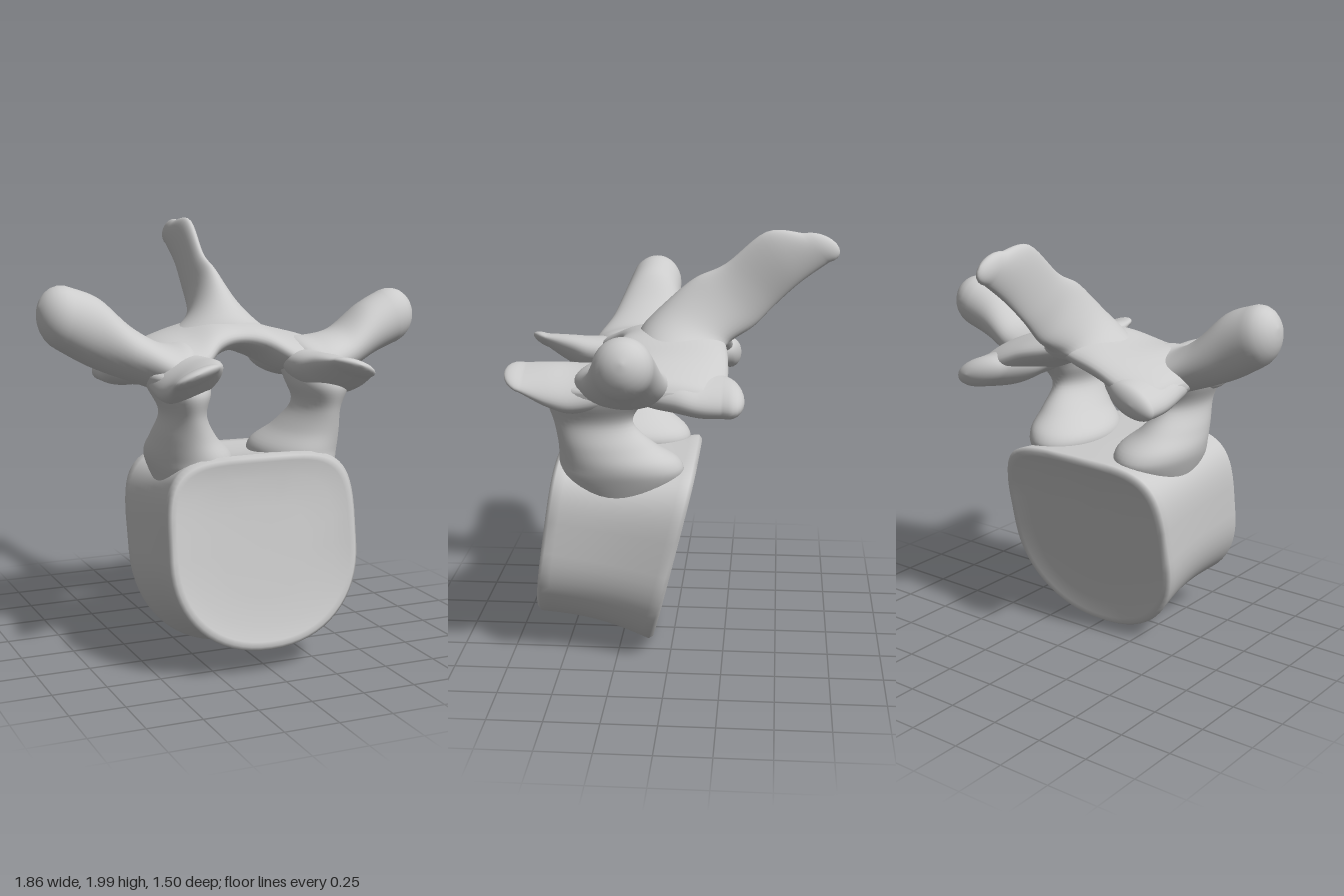
import * as THREE from 'three';

const material = new THREE.MeshStandardMaterial({ color: 0xcccccc });

// Unit outlines: a plain ellipse, and a D that is round below and squarer above
const ellipse = a => [Math.cos(a), Math.sin(a)];
const power = (n, e) => Math.sign(n) * Math.abs(n) ** e;
const shieldOutline = a => {
  const e = Math.sin(a) > 0 ? 0.45 : 0.92;
  return [power(Math.cos(a), e), power(Math.sin(a), e)];
};

// Adds smooth in-between rows (Catmull-Rom on every number of a row)
function refine(rows, steps) {
  const out = [];
  for (let i = 0; i < rows.length - 1; i++) {
    const p0 = rows[Math.max(i - 1, 0)], p1 = rows[i], p2 = rows[i + 1];
    const p3 = rows[Math.min(i + 2, rows.length - 1)];
    for (let k = 0; k < steps; k++) {
      const t = k / steps;
      out.push(p1.map((b, j) => {
        const m1 = (p2[j] - p0[j]) / 2, m2 = (p3[j] - b) / 2, d = p2[j] - b;
        return b + m1 * t + (3 * d - 2 * m1 - m2) * t * t + (m1 + m2 - 2 * d) * t * t * t;
      }));
    }
  }
  out.push(rows[rows.length - 1]);
  return out;
}

// Skins rows of [centre xyz, half-axis u xyz, half-axis v xyz]; `cap` domes the far end
function loft(name, rows, { cap = 0, steps = 6, outline = ellipse, sides = 40 } = {}) {
  rows = refine(rows, steps);
  const vec = (r, i) => new THREE.Vector3(r[i], r[i + 1], r[i + 2]);
  const last = rows[rows.length - 1];
  const dir = vec(last, 0).sub(vec(rows[rows.length - 2], 0)).normalize();
  for (let k = 1; cap && k <= 6; k++) {
    const a = k / 6 * Math.PI * 0.48, c = vec(last, 0).addScaledVector(dir, cap * Math.sin(a));
    rows.push([c.x, c.y, c.z, ...last.slice(3).map(n => n * Math.cos(a))]);
  }
  const positions = [], index = [];
  for (const r of rows) {
    for (let j = 0; j < sides; j++) {
      const [p, q] = outline(j / sides * Math.PI * 2);
      for (let k = 0; k < 3; k++) positions.push(r[k] + r[3 + k] * p + r[6 + k] * q);
    }
  }
  const inward = vec(rows[0], 3).cross(vec(rows[0], 6)).dot(vec(last, 0).sub(vec(rows[0], 0))) < 0;
  const face = (a, b, c) => inward ? index.push(a, c, b) : index.push(a, b, c);
  const start = positions.length / 3, end = start + 1, top = (rows.length - 1) * sides;
  positions.push(...rows[0].slice(0, 3), ...rows[rows.length - 1].slice(0, 3));
  for (let j = 0; j < sides; j++) {
    const n = (j + 1) % sides;
    for (let i = 0; i < top; i += sides) {
      face(i + j, i + n, i + sides + n);
      face(i + j, i + sides + n, i + sides + j);
    }
    face(start, n, j);
    face(end, top + j, top + n);
  }
  const geometry = new THREE.BufferGeometry();
  geometry.setAttribute('position', new THREE.Float32BufferAttribute(positions, 3));
  geometry.setIndex(index);
  geometry.computeVertexNormals();
  const mesh = new THREE.Mesh(geometry, material);
  mesh.name = name;
  return mesh;
}

// Flips rows to the other side of the model
const side = (rows, s) => rows.map(r => r.map((n, i) => i % 3 === 0 ? n * s : n));

// Drum with a waist, raised rims and dished, leaning end faces
function vertebralBody() {
  const front = [-0.025, 0.56, 0.59, 0.46, 0, 0, 0, 0.435, -0.065];
  const back = [0.005, 0.47, -0.01, 0.48, 0, 0, 0, 0.47, -0.115];
  const row = (t, scale) => front.map((n, i) => (n + (back[i] - n) * t) * (i > 2 ? scale : 1));
  const rows = [row(0.045, 0.45), row(0.035, 0.75), row(0.008, 0.91), row(0, 0.96)];
  for (let i = 0; i <= 14; i++) {
    const t = 0.03 + 0.94 * i / 14;
    rows.push(row(t, 1 - 0.06 * Math.sin(Math.PI * t)));
  }
  rows.push(row(1, 0.96), row(0.992, 0.91), row(0.965, 0.75), row(0.955, 0.45));
  return loft('vertebralBody', rows, { steps: 1, outline: shieldOutline, sides: 64 });
}

export function createModel() {
  const model = new THREE.Group();
  model.name = 'vertebra';
  model.add(vertebralBody());

  // Roof of the canal, from one side over the middle to the other
  const half = [
    [0.53, 1.34, -0.02, 0, 0, 0.06, 0, 0.02, 0],
    [0.49, 1.345, 0.0, 0, 0.02, 0.22, 0, 0.065, 0],
    [0.37, 1.365, 0.06, 0, 0, 0.32, 0, 0.1, 0],
    [0.23, 1.405, 0.06, 0, -0.02, 0.32, 0, 0.095, 0],
    [0.11, 1.455, 0.015, 0, 0, 0.265, 0, 0.085, 0],
  ];
  const middle = [0, 1.475, 0.005, 0, 0, 0.24, 0, 0.075, 0];
  model.add(loft('lamina', [...half, middle, ...side(half, -1).reverse()]));

  // Blade rising to the back from a flared foot
  model.add(loft('spinousProcess', [
    [0, 1.45, -0.02, 0.3, 0, 0, 0, 0.01, 0.2],
    [0, 1.505, -0.05, 0.2, 0, 0, 0, 0.04, 0.2],
    [0, 1.57, -0.115, 0.115, 0, 0, 0, 0.08, 0.165],
    [0, 1.66, -0.23, 0.058, 0, 0, 0, 0.11, 0.14],
    [0, 1.745, -0.35, 0.04, 0, 0, 0, 0.095, 0.115],
    [0.01, 1.875, -0.5, 0.042, 0, 0, 0, 0.115, 0.08],
    [0.01, 1.92, -0.65, 0.038, 0, 0, 0, 0.065, 0.06],
  ], { cap: 0.09 }));

  for (const s of [1, -1]) {
    const label = s > 0 ? 'left' : 'right';
    const lift = s > 0 ? 0 : 0.05;

    // Pillar between body and arch, flaring into both
    model.add(loft(label + 'Pedicle', side([
      [0.25, 0.7, 0.25, 0.1, 0, 0, 0, 0, 0.14],
      [0.255, 0.88, 0.235, 0.17, 0, 0, 0, 0, 0.28],
      [0.265, 0.97, 0.235, 0.185, 0, 0, 0, 0, 0.28],
      [0.305, 1.06, 0.29, 0.135, 0, 0, 0, 0, 0.22],
      [0.33, 1.17, 0.345, 0.092, 0, 0, 0, 0, 0.18],
      [0.34, 1.27, 0.33, 0.125, 0, 0, 0, 0, 0.22],
      [0.35, 1.34, 0.27, 0.14, 0, 0, 0, 0, 0.24],
    ], s), { cap: 0.06 }));

    // Knobbed arm reaching sideways
    model.add(loft(label + 'TransverseProcess', side([
      [0.2, 1.41, 0.15, 0, 0, 0.06, 0, 0.02, 0],
      [0.27, 1.39, 0.17, 0, 0, 0.2, 0, 0.08, 0],
      [0.38, 1.365, 0.195, 0, 0, 0.23, 0, 0.105, 0],
      [0.52, 1.39 + lift * 0.7, 0.18, 0, 0, 0.185, 0, 0.11 + lift * 0.3, 0],
      [0.68, 1.485 + lift * 0.8, 0.165, 0, 0, 0.145, -0.025, 0.12 + lift * 0.6, 0],
      [0.81, 1.54 + lift, 0.155, 0, 0, 0.13, -0.035, 0.125 + lift * 0.2, 0],
    ], s), { cap: 0.125 }));

    // Tongue pointing forwards, flat on top
    const tip = s > 0 ? 0.35 : 0.385;
    model.add(loft(label + 'FrontFacet', side([
      [0.35, 1.35, 0.15, 0.04, 0, 0, 0, 0.03, 0],
      [0.335, 1.34, 0.25, 0.13, -0.02, 0, 0, 0.08, 0],
      [0.33, 1.325, 0.42, 0.15, -0.04, 0, 0, 0.09, 0],
      [0.345, 1.345, 0.54, 0.13, -0.045, 0, 0, 0.07, 0],
      [tip, 1.375, 0.66, 0.105, -0.035, 0, 0, 0.035, 0],
    ], s), { cap: 0.085 }));

    // Rounded lobe pointing backwards
    model.add(loft(label + 'BackFacet', side([
      [0.34, 1.37, 0.2, 0.05, 0, 0, 0, 0.03, 0],
      [0.35, 1.355, 0.1, 0.15, -0.02, 0, 0, 0.08, 0],
      [0.365, 1.35, -0.04, 0.18, -0.03, 0, 0, 0.095, 0],
      [0.375, 1.33, -0.15, 0.175, -0.035, 0, 0, 0.09, 0],
      [0.425, 1.32, -0.25, 0.125, -0.03, 0, 0, 0.075, 0],
    ], s), { cap: s > 0 ? 0.105 : 0.06 }));
  }
  return model;
}
